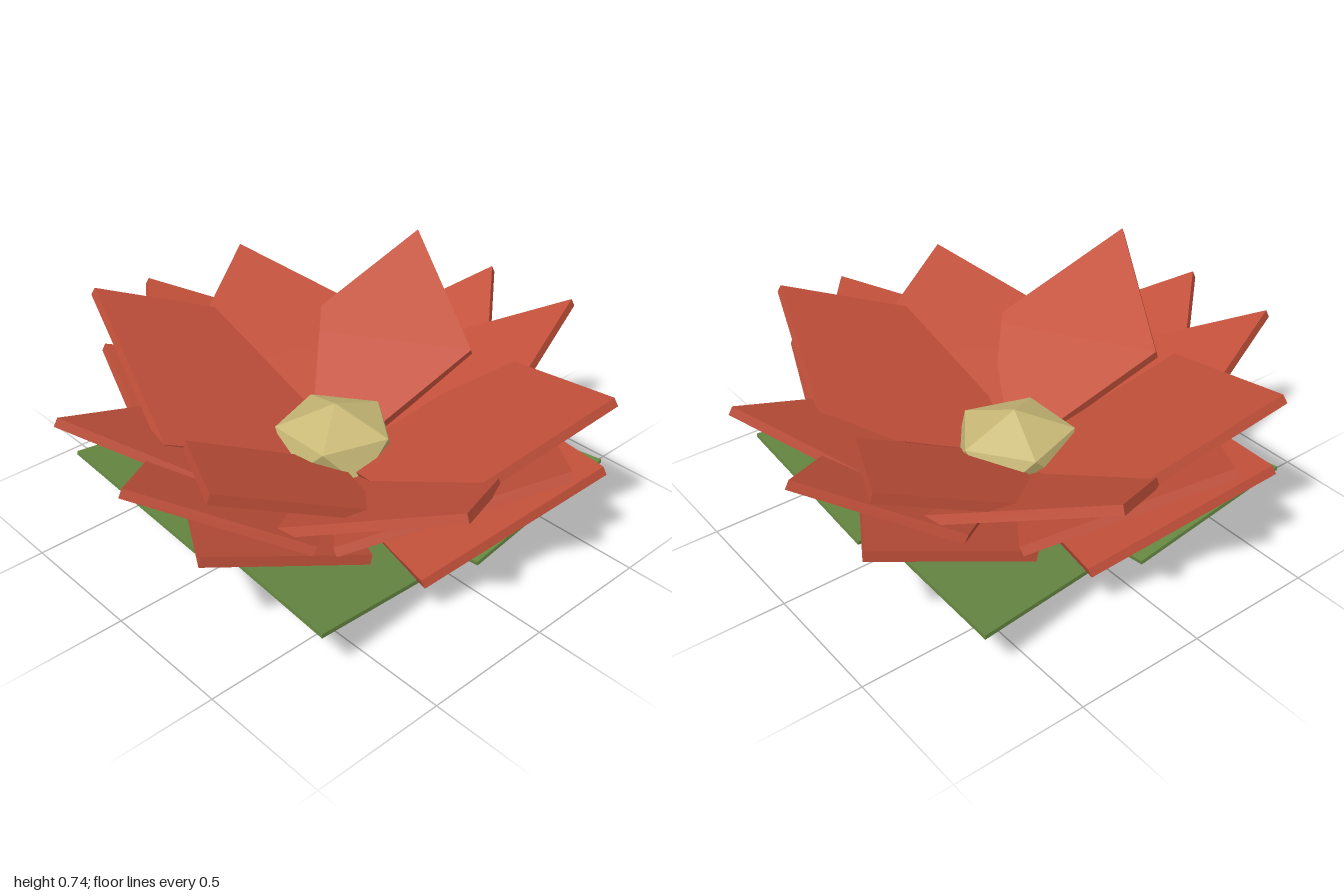
import * as THREE from 'three';

const V = (p) => new THREE.Vector3(...p);

// Thin four-cornered plate: inner corner, outer tip and one side corner give its top face.
function plate(inner, tip, side, thickness, material, name) {
  const o = V(inner);
  let a = V(side).sub(o);
  let b = V(tip).sub(V(side));
  let n = b.clone().cross(a);
  if (n.y < 0) {
    [a, b] = [b, a];
    n.negate();
  }
  n.normalize();
  const geo = new THREE.BoxGeometry(1, 1, 1);
  const pos = geo.attributes.position;
  for (let i = 0; i < pos.count; i++) {
    const p = o.clone()
      .addScaledVector(a, pos.getX(i) + 0.5)
      .addScaledVector(b, pos.getZ(i) + 0.5)
      .addScaledVector(n, (pos.getY(i) - 0.5) * thickness);
    pos.setXYZ(i, p.x, p.y, p.z);
  }
  geo.computeVertexNormals();
  const mesh = new THREE.Mesh(geo, material);
  mesh.name = name;
  return mesh;
}

export function createModel() {
  const petalRed = new THREE.MeshStandardMaterial({ color: 0xc2503a });
  petalRed.name = 'petalRed';
  const leafGreen = new THREE.MeshStandardMaterial({ color: 0x668842 });
  leafGreen.name = 'leafGreen';
  const heartYellow = new THREE.MeshStandardMaterial({ color: 0xc8b876 });
  heartYellow.name = 'heartYellow';
  heartYellow.flatShading = true;

  const flower = new THREE.Group();
  flower.name = 'flower';

  // Four petal rings, each petal as [tip, side corner]
  const rings = [
    { name: 'innerPetal', base: 0.2, petals: [
      [[0.44, 0.69, 0.88], [0.67, 0.47, 0.2]],
      [[0.89, 0.71, -0.47], [0.61, 0.48, 0.1]],
      [[-0.43, 0.74, -0.88], [-0.65, 0.48, -0.17]],
      [[-0.9, 0.71, 0.42], [-0.59, 0.49, -0.13]],
    ] },
    { name: 'secondPetal', base: 0.15, petals: [
      [[-0.32, 0.62, 0.92], [-0.63, 0.37, 0.3]],
      [[0.96, 0.65, 0.29], [0.33, 0.38, 0.44]],
      [[0.31, 0.67, -0.93], [-0.32, 0.4, -0.59]],
      [[-0.95, 0.64, -0.34], [-0.4, 0.4, -0.49]],
    ] },
    { name: 'thirdPetal', base: 0.1, petals: [
      [[0.12, 0.59, 0.97], [-0.48, 0.33, 0.5]],
      [[1, 0.62, -0.15], [0.54, 0.37, -0.46]],
      [[-0.12, 0.64, -0.98], [0.44, 0.36, -0.6]],
      [[-1, 0.61, 0.1], [-0.46, 0.35, -0.39]],
    ] },
    { name: 'outerPetal', base: 0.035, petals: [
      [[0.4, 0.44, 0.9], [0.67, 0.28, 0.2]],
      [[0.91, 0.47, -0.43], [0.6, 0.27, 0.11]],
      [[-0.4, 0.48, -0.9], [-0.64, 0.28, -0.19]],
      [[-0.92, 0.46, 0.38], [-0.6, 0.27, -0.14]],
    ] },
  ];
  for (const { name, base, petals } of rings) {
    const ring = new THREE.Group();
    ring.name = name + 'Ring';
    for (const [tip, side] of petals) {
      ring.add(plate([0, base, 0], tip, side, 0.035, petalRed, name));
    }
    flower.add(ring);
  }

  // Four broad green sepals underneath
  const sepals = [
    [[0.705, 0.22, 0.685], [0.7, 0.14, -0.02]],
    [[0.685, 0.22, -0.74], [0.07, 0.14, -0.62]],
    [[-0.7, 0.22, -0.685], [-0.68, 0.14, 0.01]],
    [[-0.71, 0.23, 0.7], [-0.1, 0.13, 0.64]],
  ];
  for (const [tip, side] of sepals) {
    flower.add(plate([0, 0.045, 0], tip, side, 0.015, leafGreen, 'sepal'));
  }

  // Faceted heart, a flattened icosahedron standing on a point
  const heartGeo = new THREE.IcosahedronGeometry(0.25, 0);
  heartGeo.rotateX(-Math.atan((1 + Math.sqrt(5)) / 2));
  heartGeo.rotateY(Math.PI / 2);
  heartGeo.scale(1, 0.62, 1);
  heartGeo.computeVertexNormals();
  const heart = new THREE.Mesh(heartGeo, heartYellow);
  heart.name = 'heart';
  heart.position.set(0.02, 0.27, -0.035);
  flower.add(heart);

  return flower;
}
